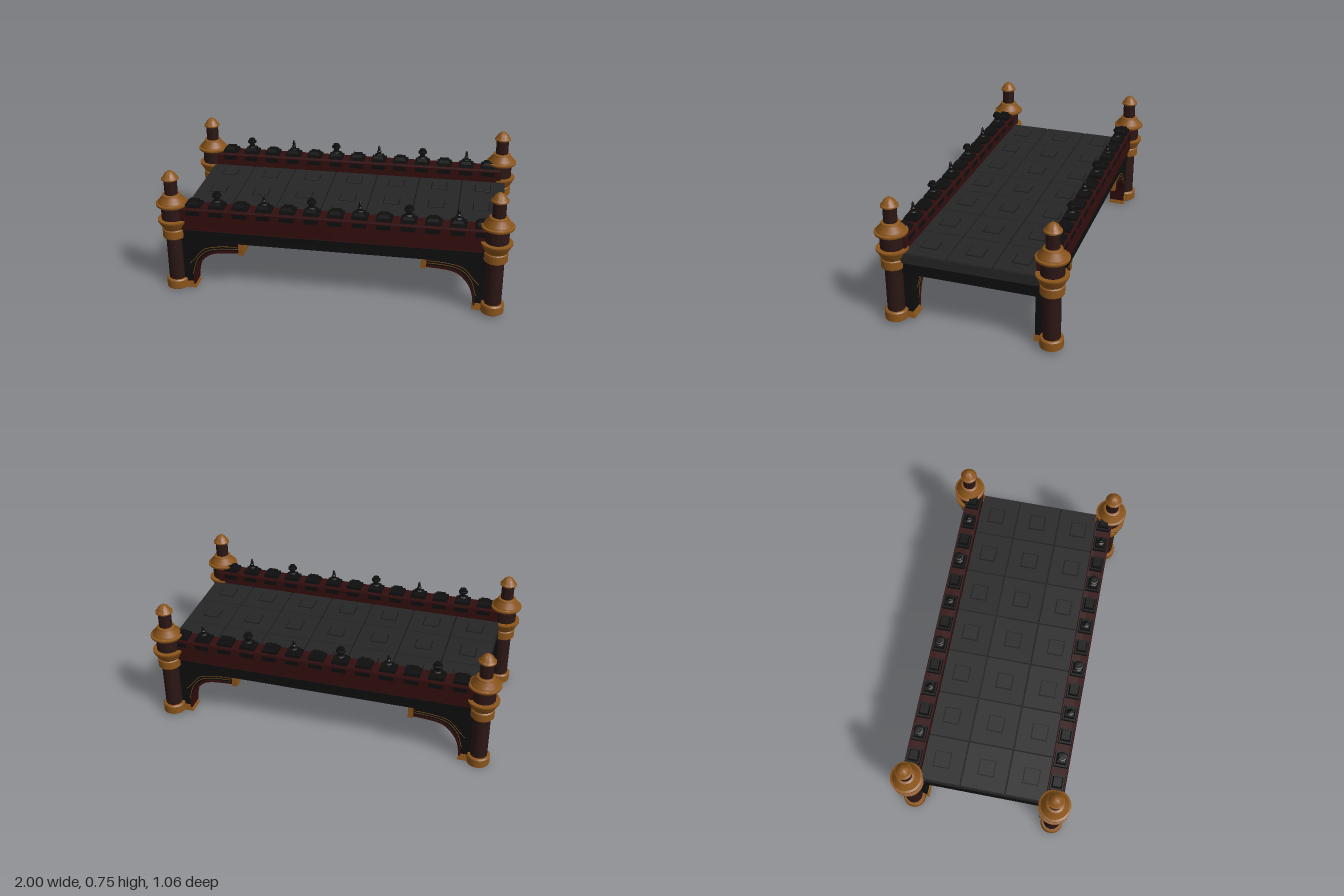
import * as THREE from 'three';
import { toCreasedNormals } from 'three/addons/utils/BufferGeometryUtils.js';

const mat = (color) => new THREE.MeshStandardMaterial({ color });
const bronze = mat(0x8a541a), wood = mat(0x2a1614), red = mat(0x330e0e);
const black = mat(0x0e0e0e), stone = mat(0x262626), joint = mat(0x141414);

function add(parent, name, geometry, material, x = 0, y = 0, z = 0) {
  const m = new THREE.Mesh(geometry, material);
  m.name = name;
  m.position.set(x, y, z);
  parent.add(m);
}

// Box standing on its base, top narrowed by the inset t
function block(w, h, d, t = 0) {
  const g = new THREE.BoxGeometry(w, h, d).translate(0, h / 2, 0), p = g.attributes.position;
  for (let i = 0; i < p.count; i++) {
    if (p.getY(i) > h / 2) p.setXYZ(i, p.getX(i) * (1 - 2 * t / w), h, p.getZ(i) * (1 - 2 * t / d));
  }
  g.computeVertexNormals();
  return g;
}

function lathe(profile, sides = 28) {
  const pts = profile.map(([r, y]) => new THREE.Vector2(r, y));
  return toCreasedNormals(new THREE.LatheGeometry(pts, sides), 0.6);
}

function extrude(shape, depth) {
  const g = new THREE.ExtrudeGeometry(shape, { depth, bevelEnabled: false, curveSegments: 16 });
  return toCreasedNormals(g.translate(0, 0, -depth / 2), 0.5);
}

// Round corner post: dark shafts with bronze base, collars and domed cap
function post(x, y, z) {
  const g = new THREE.Group();
  g.name = 'cornerPost';
  g.position.set(x, y, z);
  add(g, 'postBase', lathe([[0, 0], [0.056, 0], [0.064, 0.006], [0.064, 0.054], [0.058, 0.061], [0, 0.061]]), bronze);
  add(g, 'lowerShaft', lathe([[0.048, 0.055], [0.048, 0.335]]), wood);
  add(g, 'lowerCollar', lathe([[0, 0.322], [0.06, 0.322], [0.065, 0.328], [0.065, 0.374], [0.059, 0.379], [0.064, 0.386],
    [0.084, 0.424], [0.087, 0.428], [0.087, 0.438], [0.064, 0.44], [0, 0.44]]), bronze);
  add(g, 'middleShaft', lathe([[0.064, 0.435], [0.064, 0.532]]), wood);
  add(g, 'upperCollar', lathe([[0, 0.524], [0.088, 0.524], [0.09, 0.528], [0.09, 0.537], [0.078, 0.541], [0.076, 0.549],
    [0.054, 0.574], [0.051, 0.586], [0.044, 0.59], [0, 0.59]]), bronze);
  add(g, 'upperShaft', lathe([[0.037, 0.585], [0.037, 0.68]]), wood);
  add(g, 'postCap', lathe([[0, 0.675], [0.043, 0.675], [0.048, 0.679], [0.048, 0.686], [0.043, 0.69], [0.038, 0.696],
    [0.031, 0.71], [0.02, 0.72], [0.011, 0.727], [0, 0.73]]), bronze);
  return g;
}

// Curved corner bracket, drawn for the +x end
function bracket() {
  const g = new THREE.Group(), zc = 0.385;
  g.name = 'cornerBracket';
  const curve = (s, o) => { // lower edge, pushed outward into the corner by o
    s.bezierCurveTo(0.66, 0.245 + o, 0.7 + o * 0.5, 0.245 + o, 0.745 + o, 0.19 + o * 0.6);
    s.bezierCurveTo(0.785 + o, 0.145, 0.795 + o, 0.1, 0.8 + o, 0.03);
  };
  const body = new THREE.Shape();
  body.moveTo(0.52, 0.315);
  body.lineTo(0.52, 0.255);
  curve(body, 0.006);
  body.lineTo(0.89, 0.03);
  body.lineTo(0.89, 0.315);
  add(g, 'bracketBody', extrude(body, 0.08), black, 0, 0, zc);

  // Red edging that follows the arch
  const line = new THREE.Path();
  line.moveTo(0.52, 0.252);
  curve(line, 0);
  const inner = new THREE.Path();
  inner.moveTo(0.52, 0.264);
  curve(inner, 0.013);
  const edge = new THREE.Shape([...line.getPoints(16), ...inner.getPoints(16).reverse()]);
  add(g, 'bracketEdging', extrude(edge, 0.09), red, 0, 0, zc);

  // Thin bronze inlays on both faces
  for (const side of [-1, 1]) for (const [o, end] of [[0.018, 0.11], [0.032, 0.18]]) {
    const pts = [[0.54, 0.257 + o], [0.66, 0.248 + o], [0.72 + o * 0.6, 0.225 + o], [0.765 + o, 0.175 + o * 0.5], [0.795 + o, end - 0.02]]
      .map(([x, y]) => new THREE.Vector3(x, y, zc + side * 0.04));
    add(g, 'bracketInlay', new THREE.TubeGeometry(new THREE.CatmullRomCurve3(pts), 24, 0.002, 4), bronze);
  }

  add(g, 'bracketEndBlock', block(0.03, 0.068, 0.096), bronze, 0.518, 0.242, zc);
  for (const [w, y, h, d] of [[0.1, 0.006, 0.012, 0.1], [0.093, 0.018, 0.014, 0.092], [0.086, 0.032, 0.012, 0.096]]) {
    add(g, 'bracketFoot', block(w, h, d, 0.003), bronze, 0.895 - w / 2, y, zc);
  }
  return g;
}

// Parapet with a row of merlons and alternating finials
function parapet() {
  const g = new THREE.Group(), zc = 0.403;
  g.name = 'parapet';
  for (const x of [-0.4255, 0.4655]) add(g, 'railWall', block(0.889, 0.13, 0.092), red, x, 0.388, zc);
  add(g, 'railLedge', block(1.78, 0.01, 0.098, 0.003), red, 0.02, 0.512, zc);
  const tiered = lathe([[0, 0], [0.024, 0], [0.024, 0.008], [0.015, 0.014], [0.015, 0.034], [0.027, 0.038],
    [0.027, 0.047], [0.019, 0.05], [0.018, 0.062], [0, 0.064]], 12);
  const pointed = lathe([[0, 0], [0.022, 0], [0.021, 0.01], [0.012, 0.016], [0.013, 0.03], [0.007, 0.036],
    [0.009, 0.046], [0.006, 0.06], [0, 0.072]], 12);
  for (let i = 0; i < 13; i++) {
    const x = -0.783 + i * 0.1345;
    add(g, 'merlonBase', block(0.092, 0.02, 0.08, 0.003), black, x, 0.519, zc);
    add(g, 'merlonTop', block(0.064, 0.018, 0.058, 0.006), black, x, 0.539, zc);
    for (const s of [-1, 1]) add(g, 'railPanel', block(0.08, 0.026, 0.006), black, x, 0.478, zc + s * 0.046);
    if (i % 4 === 1) add(g, 'tieredFinial', tiered, black, x, 0.55, zc);
    if (i % 4 === 3) add(g, 'pointedFinial', pointed, black, x, 0.55, zc);
  }
  return g;
}

export function createModel() {
  const model = new THREE.Group();
  model.name = 'bridge';

  // Deck slab with chamfered long edges, running along x
  const section = new THREE.Shape([[-0.37, 0.38], [0.37, 0.38], [0.39, 0.412], [0.372, 0.434], [-0.372, 0.434], [-0.39, 0.412]]
    .map(([z, y]) => new THREE.Vector2(z, y)));
  add(model, 'deckSlab', extrude(section, 1.822).rotateY(Math.PI / 2), stone, 0.026);
  add(model, 'deckJoints', block(1.81, 0.003, 0.73), joint, 0.026, 0.433);

  // Paving: 7 by 3 slabs with a small raised square in each
  for (let i = 0; i < 7; i++) for (let j = -1; j <= 1; j++) {
    const x = -0.755 + i * 0.2605, z = j * 0.255;
    add(model, 'pavingSlab', block(0.258, 0.012, j ? 0.24 : 0.252, 0.003), stone, x, 0.43, z - j * 0.006);
    add(model, 'pavingOutline', block(0.096, 0.002, 0.096), joint, x, 0.441, z);
    add(model, 'pavingSquare', block(0.088, 0.006, 0.088, 0.002), stone, x, 0.441, z);
  }

  // Underbody and side beams
  add(model, 'underbody', block(1.81, 0.072, 0.76), black, 0.02, 0.31);
  for (const s of [-1, 1]) {
    add(model, 'sideBeam', block(1.77, 0.08, 0.07), black, 0.01, 0.309, s * 0.4);
    add(model, 'beamMoulding', block(1.77, 0.01, 0.082), wood, 0.01, 0.38, s * 0.402);
  }

  // Front and back parapets
  const back = parapet();
  back.scale.z = -1;
  model.add(parapet(), back);

  // Brackets mirrored to all four corners
  for (const sx of [-1, 1]) for (const sz of [-1, 1]) {
    const b = bracket();
    b.scale.set(sx, 1, sz);
    b.position.y = sx > 0 ? 0.008 : -0.004;
    model.add(b);
  }

  model.add(post(-0.91, 0, 0.412), post(-0.91, 0, -0.418), post(0.908, 0.015, 0.435), post(0.908, 0.015, -0.44));
  return model;
}
